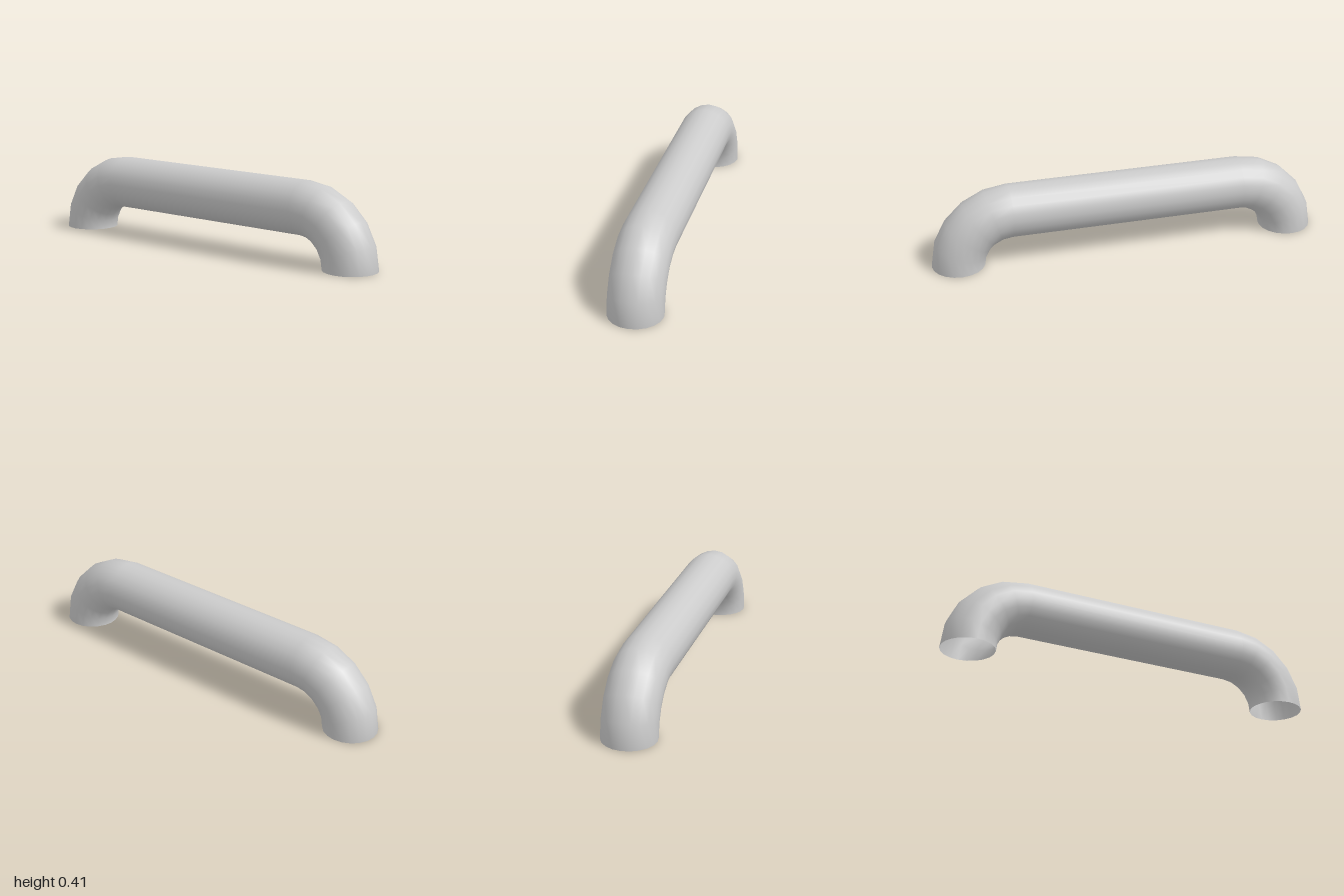
import * as THREE from 'three';

const TUBE = 0.135;   // pipe radius
const BEND = 0.27;    // centreline radius of the elbows
const HALF = 0.595;   // half length of the straight bar
const SIDES = 20;

export function createModel() {
  const group = new THREE.Group();
  group.name = 'handle';
  const material = new THREE.MeshStandardMaterial({ color: 0xcccccc, side: THREE.DoubleSide });

  // straight grip between the elbows
  const barGeometry = new THREE.CylinderGeometry(TUBE, TUBE, HALF * 2, SIDES, 1, true);
  barGeometry.rotateZ(Math.PI / 2);
  const bar = new THREE.Mesh(barGeometry, material);
  bar.name = 'gripBar';
  bar.position.y = BEND;
  group.add(bar);

  // quarter-turn elbows, open at the foot
  const elbowGeometry = new THREE.TorusGeometry(BEND, TUBE, SIDES, 5, Math.PI / 2);
  for (const side of [1, -1]) {
    const elbow = new THREE.Mesh(elbowGeometry, material);
    elbow.name = side > 0 ? 'leftElbow' : 'rightElbow';
    elbow.position.x = side * HALF;
    elbow.rotation.y = side > 0 ? 0 : Math.PI;
    group.add(elbow);
  }
  return group;
}
